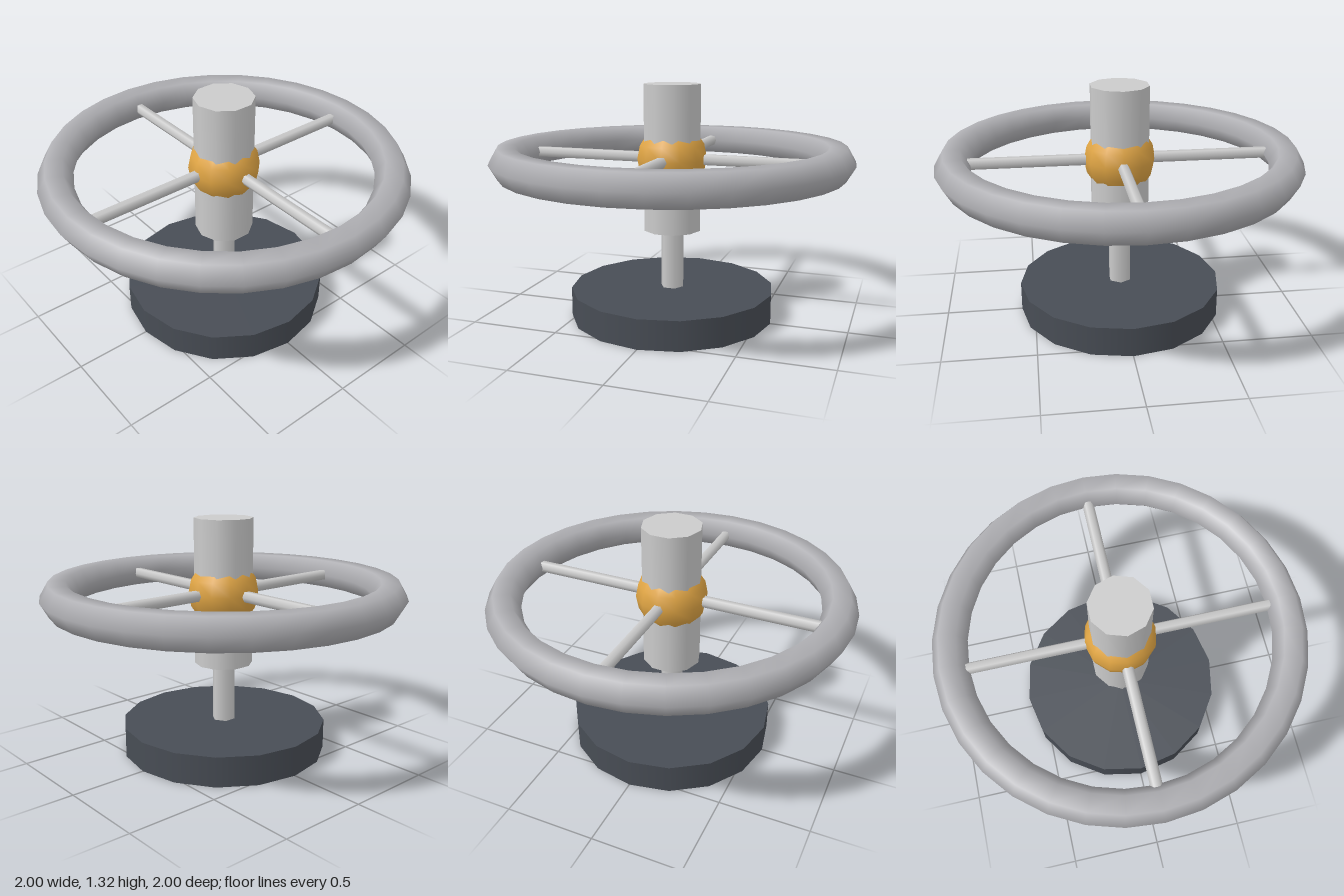
import * as THREE from 'three';

const WHEEL_Y = 0.905;

export function createModel() {
  const model = new THREE.Group();
  model.name = 'wheelOnStand';

  const paint = (color) => new THREE.MeshStandardMaterial({ color });
  const grey = paint(0xcccccc);
  const ringGrey = paint(0xb0b0b4);
  const dark = paint(0x484d55);
  const gold = paint(0xe0a544);

  const add = (name, geometry, material, y) => {
    const mesh = new THREE.Mesh(geometry, material);
    mesh.name = name;
    mesh.position.y = y;
    model.add(mesh);
    return mesh;
  };
  // Upright cylinder between two heights
  const post = (name, radius, y0, y1, sides, material) =>
    add(name, new THREE.CylinderGeometry(radius, radius, y1 - y0, sides), material, (y0 + y1) / 2);

  // Stand and central column
  post('base', 0.575, 0, 0.165, 16, dark);
  post('shaft', 0.066, 0.16, 0.52, 6, grey);
  post('column', 0.163, 0.5, 1.315, 10, grey);

  // Hub ball bulging out of the column
  add('hub', new THREE.SphereGeometry(0.197, 12, 8), gold, WHEEL_Y);

  // Wheel rim, lying flat
  const rim = new THREE.TorusGeometry(0.905, 0.095, 6, 32);
  rim.rotateX(Math.PI / 2);
  add('rim', rim, ringGrey, WHEEL_Y);

  // Four spokes from the hub into the rim
  const spoke = new THREE.CylinderGeometry(0.032, 0.032, 0.75, 6);
  spoke.rotateZ(Math.PI / 2).translate(0.475, 0, 0);
  for (let i = 0; i < 4; i++) {
    add('spoke' + (i + 1), spoke, grey, WHEEL_Y).rotation.y = (i * Math.PI) / 2;
  }

  return model;
}
